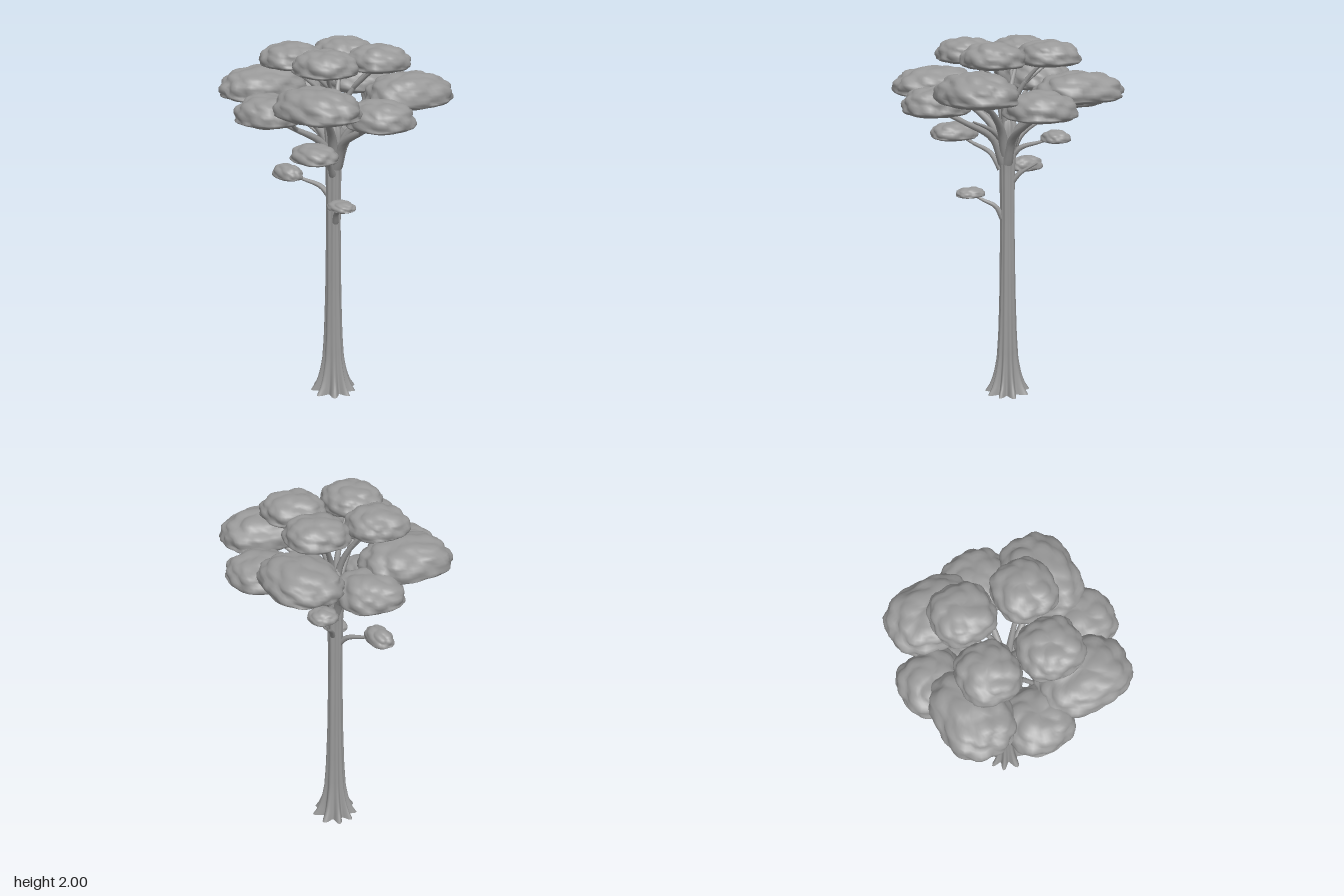
import * as THREE from 'three';
import { mergeVertices } from 'three/addons/utils/BufferGeometryUtils.js';

const V = (x, y, z) => new THREE.Vector3(x, y, z);

// Piecewise-linear lookup in [position, value] pairs
function lookup(table, t) {
  for (let i = 1; i < table.length; i++) {
    const [a, u] = table[i - 1], [b, v] = table[i];
    if (t <= b) return u + (v - u) * (t - a) / (b - a);
  }
  return table[table.length - 1][1];
}

// Repeatable random numbers
function seeded(seed) {
  let s = seed * 7919 + 17;
  return () => (s = (s * 16807) % 2147483647) / 2147483647;
}

// Fluted trunk with flared roots, open at the ground
function trunkGeometry() {
  const profile = [[0, 0.105], [0.04, 0.088], [0.1, 0.072], [0.2, 0.058], [0.35, 0.05],
    [0.6, 0.043], [1, 0.038], [1.3, 0.041], [1.45, 0.052], [1.54, 0.05], [1.62, 0.02]];
  const geo = new THREE.CylinderGeometry(1, 1, 1.62, 72, 40, true);
  const p = geo.attributes.position;
  for (let i = 0; i < p.count; i++) {
    const x = p.getX(i), z = p.getZ(i), y = p.getY(i) + 0.81;
    const a = Math.atan2(z, x);
    const root = Math.exp(-y / 0.13);
    const lobes = Math.cos(9 * a + 0.8 * Math.sin(2 * a + 1));
    const flute = lobes * (0.05 + 0.2 * root) + 0.03 * Math.cos(5 * a + y * 3);
    const r = lookup(profile, y) * (1 + flute);
    p.setXYZ(i, x * r, y, z * r);
  }
  geo.computeVertexNormals();
  return geo;
}

// Tapered branch through a few points
function branchGeometry(points, r0, r1) {
  const curve = new THREE.CatmullRomCurve3(points);
  const segs = 14, sides = 8;
  const geo = new THREE.TubeGeometry(curve, segs, 1, sides, false);
  const p = geo.attributes.position, v = V(0, 0, 0);
  for (let i = 0; i <= segs; i++) {
    const c = curve.getPointAt(i / segs), r = r0 + (r1 - r0) * Math.pow(i / segs, 0.7);
    for (let j = 0; j <= sides; j++) {
      const k = i * (sides + 1) + j;
      v.fromBufferAttribute(p, k).sub(c).multiplyScalar(r).add(c);
      p.setXYZ(k, v.x, v.y, v.z);
    }
  }
  return geo;
}

// Lumpy dome of leaves with a nearly flat underside, made to the given size
function padGeometry(size, lumps, seed) {
  const rand = seeded(seed);
  const centres = [];
  for (let i = 0; i < lumps; i++) {
    const y = 1 - 2 * (i + 0.5) / lumps, a = i * 2.39996 + seed, h = Math.sqrt(1 - y * y);
    const jitter = V(rand() - 0.5, rand() - 0.5, rand() - 0.5).multiplyScalar(0.3);
    centres.push(V(h * Math.cos(a), y, h * Math.sin(a)).add(jitter).normalize());
  }
  const cell = 2 / Math.sqrt(lumps);
  let geo = new THREE.SphereGeometry(1, 48, 26);
  geo.deleteAttribute('uv');
  geo.deleteAttribute('normal');
  geo = mergeVertices(geo, 1e-4);
  const p = geo.attributes.position, d = V(0, 0, 0);
  for (let i = 0; i < p.count; i++) {
    d.fromBufferAttribute(p, i).normalize();
    const near = Math.min(...centres.map((c) => c.distanceTo(d))) / cell;
    const bump = 1 - (d.y < -0.2 ? 0.04 : 0.08) * Math.min(near * near, 1.3);
    // Rounded-square outline; the poles stay on the axis
    const h = Math.hypot(d.x, d.z);
    let wide = 0;
    if (h > 1e-4) {
      const corner = Math.abs(d.x / h) ** 2.7 + Math.abs(d.z / h) ** 2.7;
      wide = Math.pow(corner, -1 / 2.7) * Math.pow(h, -0.15) * bump;
    }
    const y = d.y > 0 ? Math.pow(d.y, 0.9) * bump : -0.42 * Math.pow(-d.y, 0.65) * bump;
    p.setXYZ(i, d.x * wide, y, d.z * wide);
  }
  geo.center();
  const box = geo.boundingBox.getSize(V(0, 0, 0));
  geo.scale(size[0] / box.x, size[1] / box.y, size[2] / box.z);
  geo.computeVertexNormals();
  return geo;
}

export function createModel() {
  const tree = new THREE.Group();
  tree.name = 'tree';
  const grey = new THREE.MeshStandardMaterial({ color: 0x999999 });
  grey.name = 'grey';

  const add = (name, geo, pos = [0, 0, 0]) => {
    const mesh = new THREE.Mesh(geo, grey);
    mesh.name = name;
    mesh.position.set(...pos);
    tree.add(mesh);
  };

  add('trunk', trunkGeometry(), [-0.01, 0, 0]);

  // Canopy tiers: limb path as [reach fraction, height], pads as [x, z, width, depth, y, height]
  const tiers = [
    { name: 'lower', r: 0.032, lumps: 50,
      path: [[0.04, 1.33], [0.2, 1.47], [0.6, 1.565], [0.98, 1.64]],
      pads: [[0.045, -0.40, 0.36, 0.36, 1.69, 0.16], [0.405, 0.04, 0.35, 0.34, 1.69, 0.16],
        [-0.05, 0.395, 0.35, 0.35, 1.69, 0.16], [-0.405, -0.03, 0.35, 0.34, 1.69, 0.16]] },
    { name: 'middle', r: 0.034, lumps: 64,
      path: [[0.04, 1.38], [0.18, 1.52], [0.5, 1.63], [0.92, 1.72]],
      pads: [[-0.245, -0.325, 0.49, 0.38, 1.76, 0.165], [0.325, -0.235, 0.375, 0.49, 1.775, 0.18],
        [-0.322, 0.232, 0.375, 0.49, 1.775, 0.18], [0.245, 0.32, 0.49, 0.375, 1.755, 0.165]] },
    { name: 'top', r: 0.027, lumps: 50,
      path: [[0.04, 1.45], [0.14, 1.63], [0.45, 1.77], [0.9, 1.89]],
      pads: [[-0.147, -0.182, 0.325, 0.325, 1.93, 0.14], [0.175, -0.15, 0.32, 0.33, 1.93, 0.14],
        [-0.185, 0.143, 0.31, 0.325, 1.93, 0.14], [0.135, 0.178, 0.33, 0.315, 1.93, 0.14]] },
  ];
  tiers.forEach((tier, t) => tier.pads.forEach(([x, z, w, d, y, h], i) => {
    add(tier.name + 'Foliage', padGeometry([w, h, d], tier.lumps, t * 4 + i + 1), [x, y, z]);
    const limb = tier.path.map(([f, ly]) => V(x * f, ly, z * f));
    add(tier.name + 'Limb', branchGeometry(limb, tier.r, 0.008));
    // One side fork from the outer half of each limb
    const len = Math.hypot(x, z), s = (i % 2 ? 0.3 : -0.3) * Math.min(w, d) / len;
    add(tier.name + 'Fork', branchGeometry([limb[2],
      V(x * 0.75 - z * s * 0.45, (limb[2].y + y) / 2 - 0.015, z * 0.75 + x * s * 0.45),
      V(x - z * s, y - 0.04, z + x * s)], 0.014, 0.006));
  }));

  // Small tufts on the trunk: position, size, height where the twig leaves
  const tufts = [
    [[-0.205, 1.48, -0.178], [0.15, 0.07, 0.155], 1.36],
    [[0.165, 1.48, 0.275], [0.26, 0.1, 0.22], 1.29],
    [[-0.228, 1.278, 0.145], [0.195, 0.085, 0.13], 1.16],
    [[0.17, 1.165, 0.095], [0.16, 0.055, 0.13], 1.02],
  ];
  tufts.forEach(([c, size, y], i) => {
    const [x, cy, z] = c;
    add('tuft', padGeometry(size, 36, 20 + i), c);
    add('twig', branchGeometry([V(x * 0.1, y, z * 0.1), V(x * 0.3, y + (cy - y) * 0.45, z * 0.3),
      V(x * 0.65, y + (cy - y) * 0.7, z * 0.65), V(x * 0.95, cy - 0.01, z * 0.95)], 0.02, 0.006));
  });

  // Bare twigs under the canopy
  for (const [x, y, z] of [[-0.22, 1.56, 0.06], [0.24, 1.58, -0.05], [-0.13, 1.33, -0.11]]) {
    add('bareTwig', branchGeometry([V(x * 0.05, y - 0.14, z * 0.05),
      V(x * 0.45, y - 0.06, z * 0.45), V(x, y, z)], 0.022, 0.005));
  }
  return tree;
}
